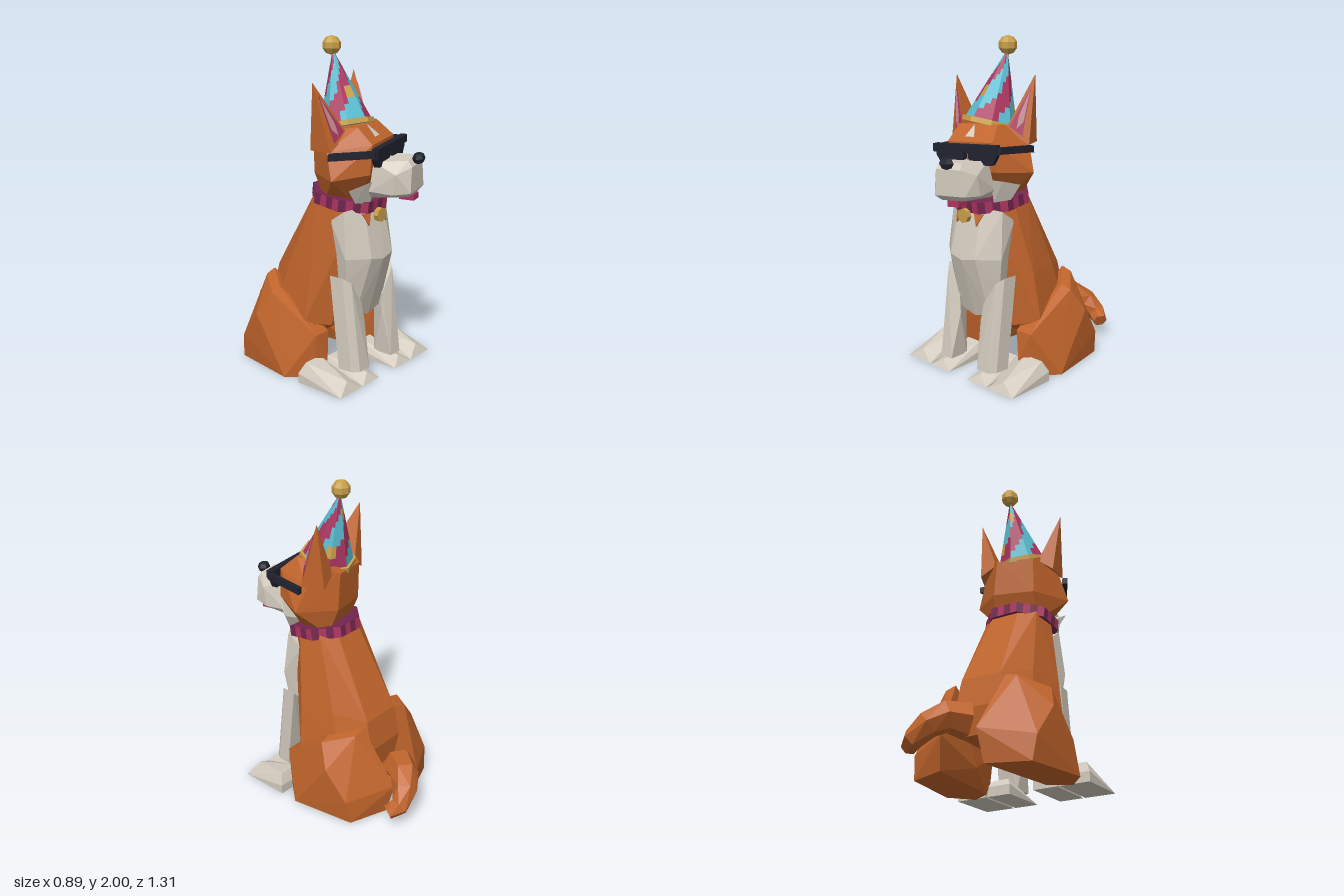
import * as THREE from 'three';
import { ConvexGeometry } from 'three/addons/geometries/ConvexGeometry.js';

const colour = (name, hex) => {
  const m = new THREE.MeshStandardMaterial({ color: hex });
  m.name = name;
  return m;
};

export function createModel() {
  const orange = colour('orange fur', 0xc0642b);
  const white = colour('white fur', 0xd3cbbe);
  const dark = colour('black', 0x20222f);
  const gold = colour('gold', 0xc9a048);
  const magenta = colour('magenta', 0xac3560);
  const purple = colour('purple', 0x74264f);
  const cyan = colour('cyan', 0x58bcd0);
  const pink = colour('ear pink', 0xc48a92);

  const model = new THREE.Group();
  model.name = 'sittingDog';

  const add = (name, geo, mat, parent = model) => {
    const mesh = new THREE.Mesh(geo, mat);
    mesh.name = name;
    parent.add(mesh);
    return mesh;
  };
  // Faceted solid around a few corner points
  const hull = (name, pts, mat, parent) =>
    add(name, new ConvexGeometry(pts.map(p => new THREE.Vector3(...p))), mat, parent);
  // Points mirrored across x
  const both = pts => pts.flatMap(([x, y, z]) => [[x, y, z], [-x, y, z]]);
  const side = (s, pts) => pts.map(([x, y, z]) => [s * x, y, z]);
  const flat = geo => {
    const g = geo.toNonIndexed();
    g.computeVertexNormals();
    return g;
  };
  // Faceted cone wall split into coloured patches
  const patchWall = (name, sides, r0, r1, h, cols, rows, pick, parent) => {
    const point = (u, v) => {
      const k = u * sides, i = Math.floor(k + 1e-6), f = k - i;
      const r = r0 + (r1 - r0) * v, a = i / sides * Math.PI * 2, b = (i + 1) / sides * Math.PI * 2;
      return [r * (Math.sin(a) * (1 - f) + Math.sin(b) * f), h * v,
        r * (Math.cos(a) * (1 - f) + Math.cos(b) * f)];
    };
    const byMat = new Map();
    for (let c = 0; c < cols; c++) for (let j = 0; j < rows; j++) {
      const mat = pick(c, j);
      if (!byMat.has(mat)) byMat.set(mat, []);
      const [p, q, r, s] = [[c, j], [c + 1, j], [c + 1, j + 1], [c, j + 1]]
        .map(([x, y]) => point(x / cols, y / rows));
      byMat.get(mat).push(...p, ...q, ...r, ...p, ...r, ...s);
    }
    for (const [mat, pos] of byMat) {
      const g = new THREE.BufferGeometry();
      g.setAttribute('position', new THREE.Float32BufferAttribute(pos, 3));
      g.computeVertexNormals();
      add(name, g, mat, parent);
    }
  };

  // Torso and chest
  hull('torso', both([
    [.1, 1.07, .34], [.2, 1.05, .2], [.18, 1.08, .06], [.09, 1.09, 0],
    [.16, .65, .25], [.285, .62, .12], [.24, .62, -.1], [.13, .57, -.28],
    [.2, .3, .21], [.325, .32, .1], [.28, .3, -.18], [.14, .38, -.32],
    [.14, .22, .1], [.12, .22, -.3]]), orange);
  hull('chest', both([
    [.09, 1.04, .36], [.2, 1.02, .3], [0, .72, .44], [.1, .74, .43], [.22, .74, .33],
    [.2, .6, .32], [.12, .38, .33], [0, .345, .33], [.2, .95, .2], [.15, .45, .2]]), white);

  for (const s of [1, -1]) {
    // Hind leg: haunch and long paw
    hull('haunch', side(s, [
      [.17, .55, -.28], [.24, .53, -.28], [.37, .48, -.12], [.3, .5, -.12], [.425, .34, -.2],
      [.445, 0, .045], [.4, .15, -.34], [.38, 0, -.36], [.115, .19, -.49], [.14, 0, -.45],
      [.33, 0, .18], [.33, .27, .2], [.26, .1, .23], [.22, .27, .2], [.14, .1, -.1],
      [.2, 0, .1]]), orange);
    const paw = (name, x0, x1, h) => {
      const m = (x0 + x1) / 2, w = (x1 - x0) * .33;
      hull(name, side(s, [[x0, 0, .16], [x1, 0, .16], [x0, 0, .483], [x1, 0, .483],
        [x0, .06, .16], [x1, .06, .16], [m - w, h, .19], [m + w, h, .19], [m, h * .5, .45]]), white);
    };
    paw('hindPaw', .25, .445, .125);
    paw('frontPaw', .08, .235, .1);
    // Front leg
    hull('frontLeg', side(s, [
      [.24, .63, .23], [.235, .63, .32], [.2, .6, .36], [.16, .55, .25],
      [.1, .45, .36], [.085, .35, .37], [.24, .06, .3], [.235, .06, .39], [.2, .06, .43],
      [.11, .06, .43], [.11, .06, .3]]), white);
    // Small tufts of fur under the collar
    hull('chestTuft', side(s, [[.05, 1, .382], [.11, 1, .365], [.08, .93, .398],
      [.05, 1, .35], [.11, 1, .35], [.08, .93, .37]]), orange);
  }

  // Tail: tapering hexagonal sections along a curve
  const tailPath = new THREE.CatmullRomCurve3([[-.01, .26, -.42], [.06, .27, -.52],
    [.13, .22, -.58], [.21, .15, -.6], [.27, .12, -.56]].map(p => new THREE.Vector3(...p)));
  const tailRing = t => {
    const c = tailPath.getPoint(t), d = tailPath.getTangent(t), r = .105 - .06 * t;
    const a = new THREE.Vector3(0, 1, 0).cross(d).normalize(), b = d.clone().cross(a);
    return [0, 1, 2, 3, 4, 5].map(i => c.clone()
      .addScaledVector(a, r * Math.cos(i * Math.PI / 3))
      .addScaledVector(b, r * Math.sin(i * Math.PI / 3)).toArray());
  };
  for (let i = 0; i < 4; i++) hull('tail', [...tailRing(i / 4), ...tailRing((i + 1) / 4)], orange);

  // Striped collar with tag
  const collar = new THREE.Group();
  collar.name = 'collar';
  collar.position.set(0, 1.03, .175);
  collar.rotation.set(.13, Math.PI / 8, 0, 'XYZ');
  model.add(collar);
  patchWall('collarBand', 8, .232, .232, .07, 32, 1, c => (c % 2 ? magenta : purple), collar);
  add('collarCore', flat(new THREE.CylinderGeometry(.231, .231, .07, 8)), purple, collar)
    .position.y = .035;
  const tag = add('collarTag', flat(new THREE.CylinderGeometry(.043, .043, .03, 8)), gold);
  tag.position.set(0, .985, .41);
  tag.rotation.x = Math.PI / 2;

  // Head, turned and tilted a little
  const head = new THREE.Group();
  head.name = 'head';
  head.position.set(-.005, 1.2, .16);
  head.rotation.set(0, .23, .05);
  model.add(head);
  hull('skull', both([
    [.13, .31, .14], [.16, .28, -.1], [.15, .22, .24], [.17, .05, .23], [.3, .025, .05],
    [.25, .18, 0], [.13, .02, -.145], [.12, .25, -.15], [.13, -.13, .1], [.13, -.15, -.08]]), orange, head);
  const muzzle = hull('muzzle', both([
    [.075, .135, .43], [.08, .1, .455], [.1, -.05, .455], [.125, .12, .24], [.14, .06, .38],
    [.14, -.06, .36], [.15, -.05, .22], [.11, -.1, .2], [.07, -.08, .43]]), white, head);
  muzzle.position.x = -.012;
  const nose = add('nose', flat(new THREE.SphereGeometry(.048, 6, 4)), dark, head);
  nose.position.set(-.015, .137, .465);
  nose.scale.set(1, .75, .75);
  add('tongue', new THREE.BoxGeometry(.075, .035, .09), magenta, head).position.set(0, -.095, .4);
  hull('foreheadMark', [[-.05, .246, .212], [.012, .246, .212], [-.02, .309, .149],
    [-.05, .238, .21], [.012, .238, .21], [-.02, .301, .147]], white, head);

  for (const s of [1, -1]) {
    hull('cheek', side(s, [[.13, .01, .25], [.19, 0, .22], [.26, -.03, .14], [.2, -.12, .15],
      [.12, -.13, .21], [.1, -.1, .1]]), white, head);
    // Ear, with an inner face and a pale streak laid on its front
    const tip = [.268, .575, -.07], inner = [.14, .27, .08], outer = [.265, .18, .03];
    hull('ear', side(s, [tip, inner, outer, [.24, .18, -.11], [.14, .25, -.11]]), orange, head);
    const earPlate = (name, weights, lift, mat) => hull(name, side(s, [lift, lift - .6].flatMap(d =>
      weights.map(([a, b, c]) => [.003, .002, .006].map((n, i) =>
        tip[i] * a + inner[i] * b + outer[i] * c + n * d)))), mat, head);
    earPlate('innerEar', [[.78, .12, .1], [.08, .84, .08], [.06, .3, .64]], .6, magenta);
    earPlate('innerEarStreak', [[.74, .14, .12], [.3, .5, .2], [.1, .55, .35], [.25, .3, .45]], 1, pink);
    // Sunglasses: lens and arm
    hull('lens', side(s, [.255, .29].flatMap(z => [[.01, .21, z], [.2, .21, z], [.2, .15, z],
      [.17, .1, z], [.05, .1, z], [.015, .135, z]])), dark, head);
    hull('glassesArm', side(s, [[.19, .205, .295], [.225, .205, .285], [.19, .165, .295],
      [.225, .165, .285], [.26, .18, .03], [.297, .18, .03], [.26, .14, .03], [.297, .14, .03]]), dark, head);
  }
  add('glassesBar', new THREE.BoxGeometry(.42, .045, .04), dark, head).position.set(0, .192, .282);

  // Party hat
  const hat = new THREE.Group();
  hat.name = 'partyHat';
  hat.position.set(-.02, 1.495, .165);
  hat.rotation.set(-.275, 0, -.05);
  model.add(hat);
  patchWall('hatCone', 8, .158, .006, .425, 24, 12, (c, j) => {
    if ((Math.floor(c / 2) * 5 + Math.floor(j / 2) * 3) % 19 === 4) return gold;
    return (c + 24 - Math.floor(j * .8)) % 8 < 4 ? magenta : cyan;
  }, hat);
  add('hatRim', flat(new THREE.CylinderGeometry(.168, .172, .03, 8)), [gold, gold, cyan], hat);
  add('pompom', flat(new THREE.SphereGeometry(.057, 8, 5)), gold).position.set(0, 1.943, .04);

  return model;
}
